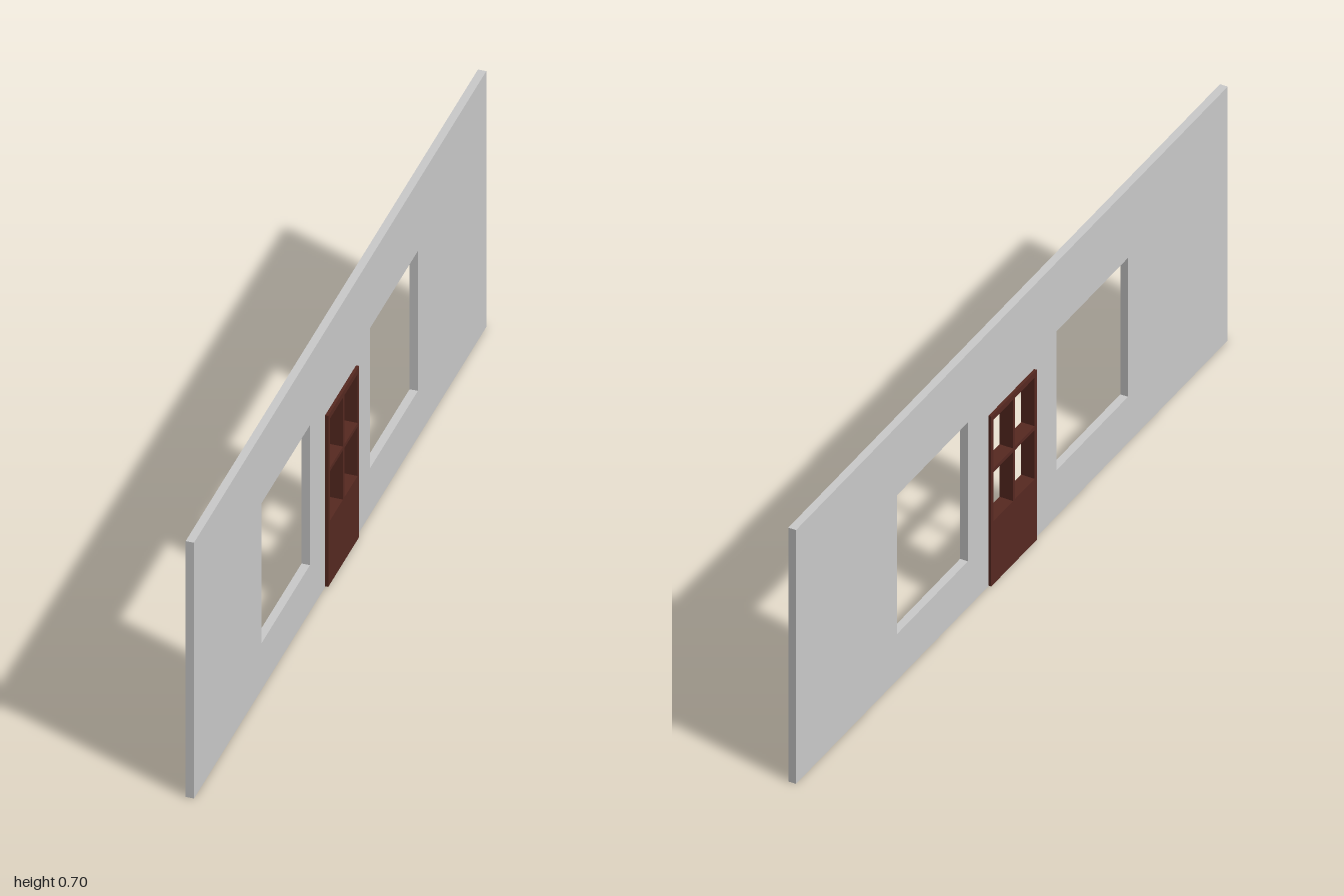
import * as THREE from 'three';

// Rectangle outline from z and y limits (shape x runs along -z)
function rect(Type, z0, z1, y0, y1) {
  const p = new Type();
  p.moveTo(-z1, y0);
  p.lineTo(-z0, y0);
  p.lineTo(-z0, y1);
  p.lineTo(-z1, y1);
  p.closePath();
  return p;
}

// Flat panel standing in the yz plane, centred on x = 0
function panel(name, shape, thickness, color) {
  const geo = new THREE.ExtrudeGeometry(shape, { depth: thickness, bevelEnabled: false });
  geo.translate(0, 0, -thickness / 2);
  geo.rotateY(Math.PI / 2);
  const mesh = new THREE.Mesh(geo, new THREE.MeshStandardMaterial({ color }));
  mesh.name = name;
  return mesh;
}

export function createModel() {
  const group = new THREE.Group();
  group.name = 'wallWithDoor';

  const door = { z0: -0.109, z1: 0.103, y0: 0.002, y1: 0.47 };

  // Wall outline with a doorway notch in the bottom edge
  const wall = new THREE.Shape([
    [-1, 0], [-door.z1, 0], [-door.z1, door.y1], [-door.z0, door.y1],
    [-door.z0, 0], [1, 0], [1, 0.7], [-1, 0.7],
  ].map(([x, y]) => new THREE.Vector2(x, y)));

  // Window openings either side of the door
  for (const [z0, z1] of [[0.207, 0.538], [-0.532, -0.204]]) {
    wall.holes.push(rect(THREE.Path, z0, z1, 0.127, 0.51));
  }
  group.add(panel('wall', wall, 0.02, 0xcccccc));

  // Door with four open panes above a solid lower panel
  const leaf = rect(THREE.Shape, door.z0, door.z1, door.y0, door.y1);
  for (const [z0, z1] of [[-0.098, -0.008], [0.002, 0.092]]) {
    for (const [y0, y1] of [[0.176, 0.311], [0.321, 0.455]]) {
      leaf.holes.push(rect(THREE.Path, z0, z1, y0, y1));
    }
  }
  group.add(panel('door', leaf, 0.035, 0x572921));

  return group;
}
